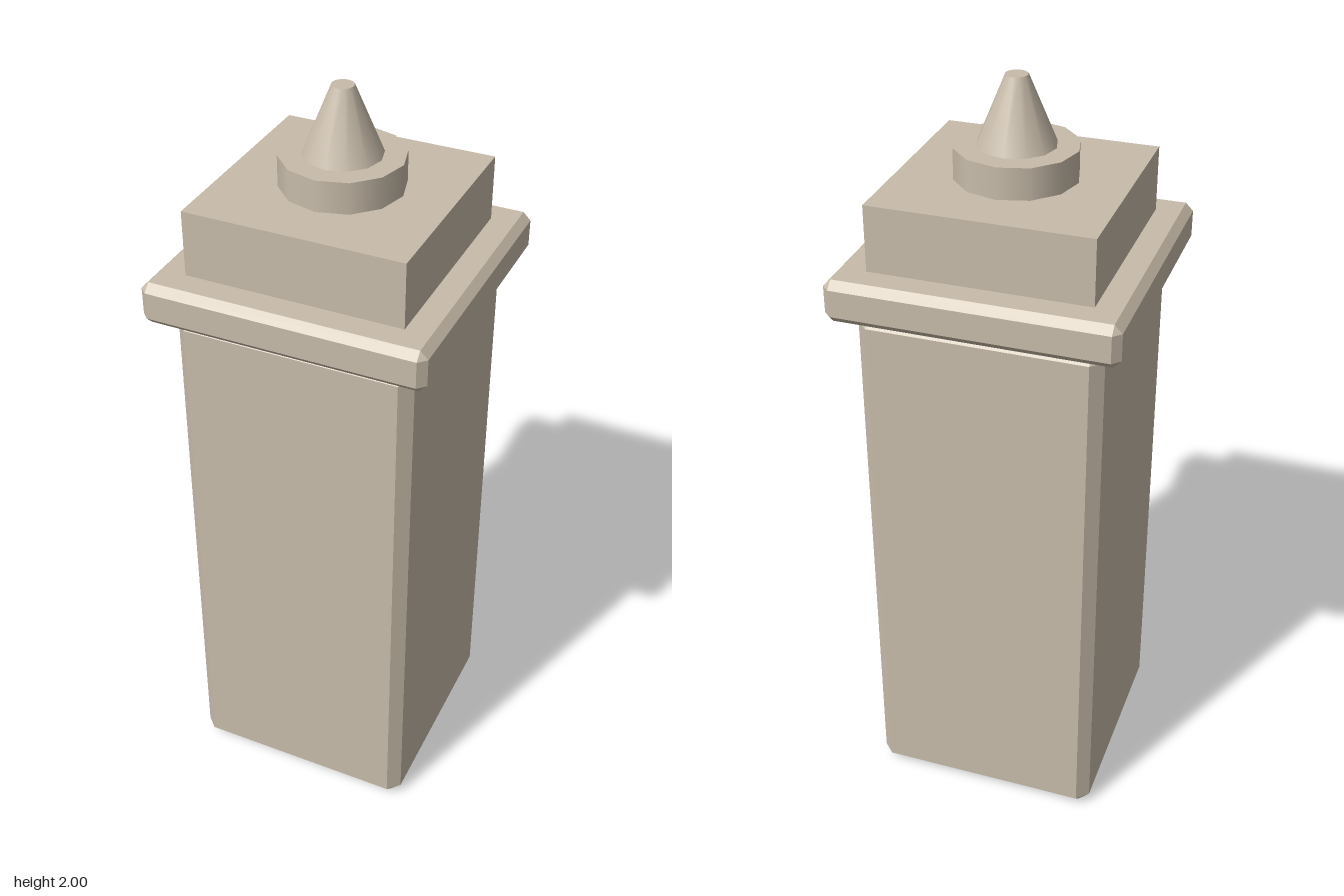
import * as THREE from 'three';
import { ConvexGeometry } from 'three/addons/geometries/ConvexGeometry.js';

// Square block with every edge cut at 45 degrees: three points per corner
function chamferedBlock(half, height, cut) {
  const points = [], h = height / 2;
  for (const x of [-1, 1]) for (const y of [-1, 1]) for (const z of [-1, 1]) {
    for (const [a, b, c] of [[0, cut, cut], [cut, 0, cut], [cut, cut, 0]]) {
      points.push(new THREE.Vector3(x * (half - a), y * (h - b), z * (half - c)));
    }
  }
  return new ConvexGeometry(points);
}

export function createModel() {
  const group = new THREE.Group();
  const stone = new THREE.MeshStandardMaterial({ color: 0xc8bcaa });
  stone.name = 'stone';

  // Place a part so that it spans bottom to top
  const add = (name, geometry, bottom, top) => {
    const mesh = new THREE.Mesh(geometry, stone);
    mesh.name = name;
    mesh.position.y = (bottom + top) / 2;
    group.add(mesh);
  };

  // Pillar and overhanging cap
  add('pillarShaft', chamferedBlock(0.31, 1.47, 0.03), 0, 1.47);
  add('capSlab', chamferedBlock(0.365, 0.11, 0.02), 1.47, 1.58);
  add('upperBlock', new THREE.BoxGeometry(0.562, 0.17, 0.562), 1.58, 1.75);

  // Twelve-sided finial
  add('finialBase', new THREE.CylinderGeometry(0.155, 0.155, 0.08, 12), 1.75, 1.83);
  add('finialSpike', new THREE.CylinderGeometry(0.028, 0.099, 0.17, 12), 1.83, 2);

  return group;
}
